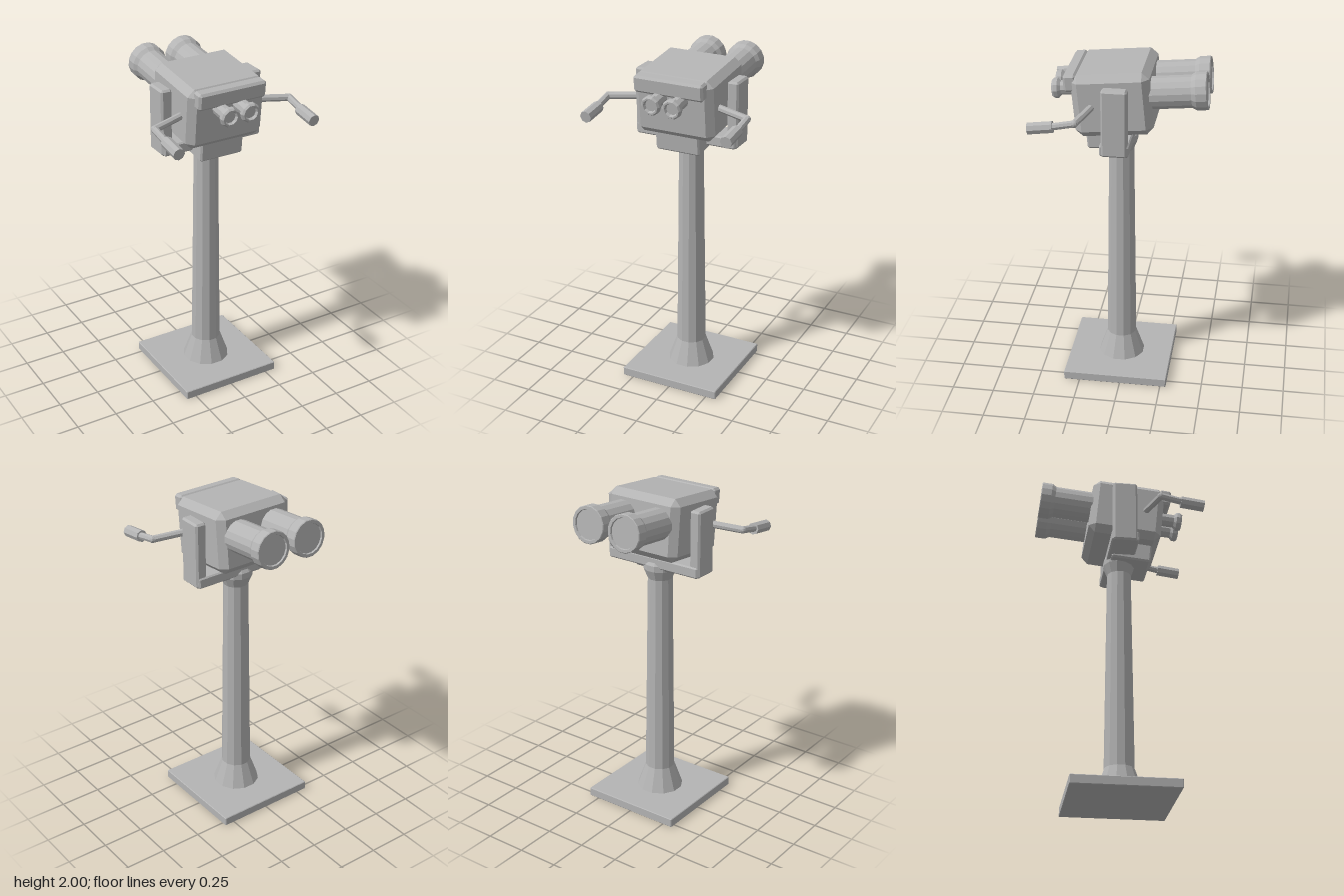
import * as THREE from 'three';
import { ConvexGeometry } from 'three/addons/geometries/ConvexGeometry.js';

const metal = new THREE.MeshStandardMaterial({ color: 0xb4b4b4 });
metal.name = 'grey metal';

// Faceted mesh: split shared corners so every face keeps its own normal
function facet(name, geometry) {
  const g = geometry.index ? geometry.toNonIndexed() : geometry;
  g.computeVertexNormals();
  const mesh = new THREE.Mesh(g, metal);
  mesh.name = name;
  return mesh;
}

// Box with chamfered edges, centred on (x, y, z)
function chamferBox(name, w, h, d, c, x, y, z) {
  const points = [];
  for (const sx of [-1, 1]) for (const sy of [-1, 1]) for (const sz of [-1, 1]) {
    const a = w / 2, b = h / 2, e = d / 2;
    points.push(
      new THREE.Vector3(sx * a, sy * (b - c), sz * (e - c)),
      new THREE.Vector3(sx * (a - c), sy * b, sz * (e - c)),
      new THREE.Vector3(sx * (a - c), sy * (b - c), sz * e));
  }
  const mesh = facet(name, new ConvexGeometry(points));
  mesh.position.set(x, y, z);
  return mesh;
}

// Turned part from [radius, height] pairs
function turned(name, profile, sides) {
  const points = profile.map(([r, y]) => new THREE.Vector2(r, y));
  return facet(name, new THREE.LatheGeometry(points, sides, Math.PI / sides));
}

// Straight rod between two points
function rod(name, from, to, radius, sides = 8) {
  const a = new THREE.Vector3(...from), b = new THREE.Vector3(...to);
  const mesh = facet(name, new THREE.CylinderGeometry(radius, radius, a.distanceTo(b), sides));
  mesh.position.copy(a).add(b).multiplyScalar(0.5);
  mesh.quaternion.setFromUnitVectors(new THREE.Vector3(0, 1, 0), b.sub(a).normalize());
  return mesh;
}

export function createModel() {
  const model = new THREE.Group();
  model.name = 'viewingBinoculars';

  // Base plate and flared column
  model.add(chamferBox('basePlate', 0.63, 0.055, 0.63, 0.004, 0, 0.0275, 0.03));
  const column = turned('column', [
    [0, 0.05], [0.143, 0.05], [0.09, 0.2], [0.074, 1.45],
    [0.098, 1.51], [0.098, 1.545], [0.07, 1.585], [0, 1.585],
  ], 12);
  column.position.z = 0.03;
  model.add(column);

  // Yoke: crossbar and two upright arms
  model.add(chamferBox('yokeCrossbar', 0.63, 0.065, 0.165, 0.008, 0, 1.563, 0.03));
  for (const s of [-1, 1]) {
    model.add(chamferBox('yokeArm', 0.068, 0.395, 0.146, 0.011, s * 0.291, 1.728, 0.028));
  }

  // Tilted head
  const head = new THREE.Group();
  head.name = 'head';
  head.position.set(0, 1.8, 0.053);
  head.rotation.x = 0.095;
  model.add(head);
  head.add(chamferBox('housing', 0.49, 0.366, 0.444, 0.04, 0, 0, 0));
  head.add(chamferBox('visor', 0.43, 0.1, 0.074, 0.013, 0, 0.135, 0.226));
  head.add(chamferBox('coinBox', 0.276, 0.13, 0.24, 0.01, 0, -0.227, 0.062));

  for (const s of [-1, 1]) {
    // Eyepiece with a shallow cup, facing forward
    const eyepiece = turned('eyepiece', [
      [0, 0], [0.041, 0], [0.041, 0.108], [0.058, 0.124], [0.058, 0.145],
      [0.05, 0.157], [0.04, 0.157], [0.034, 0.14], [0, 0.14],
    ], 10);
    eyepiece.rotation.x = Math.PI / 2;
    eyepiece.position.set(s * 0.065, 0.06, 0.2);
    head.add(eyepiece);

    // Large lens barrel with a recessed end, facing back
    const barrel = turned('lensBarrel', [
      [0, 0], [0.094, 0], [0.094, 0.25], [0.109, 0.275], [0.109, 0.334],
      [0.105, 0.338], [0.089, 0.338], [0.086, 0.328], [0, 0.328],
    ], 16);
    barrel.rotation.x = -Math.PI / 2;
    barrel.position.set(s * 0.123, 0.033, -0.195);
    head.add(barrel);

    // Bent handle with a thicker grip
    const elbow = [s * 0.437, 1.775, 0.225];
    const handle = new THREE.Group();
    handle.name = 'handle';
    handle.add(rod('handleArm', [s * 0.23, 1.79, 0.165], elbow, 0.021));
    handle.add(rod('handleStem', elbow, [s * 0.435, 1.747, 0.36], 0.021));
    handle.add(rod('handleGrip', [s * 0.432, 1.747, 0.345], [s * 0.432, 1.729, 0.485], 0.035));
    const joint = facet('handleElbow', new THREE.SphereGeometry(0.022, 8, 6));
    joint.position.set(...elbow);
    handle.add(joint);
    model.add(handle);
  }
  return model;
}
